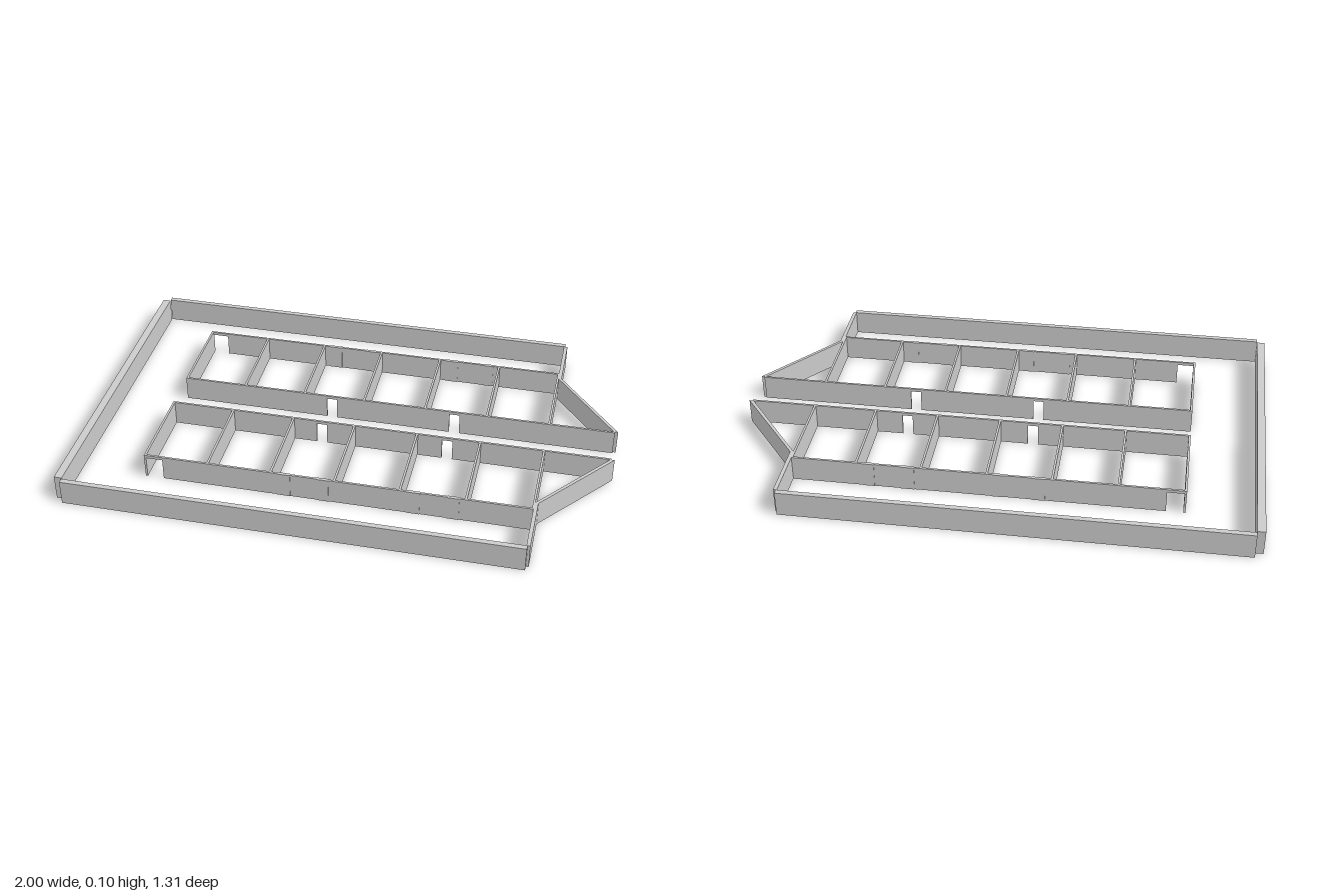
import * as THREE from 'three';

const H = 0.097;        // wall height
const DOOR = 0.085;     // door opening height
const T = 0.008;        // partition thickness

export function createModel() {
  const model = new THREE.Group();
  model.name = 'floorPlanWalls';
  const material = new THREE.MeshStandardMaterial({ color: 0xcccccc, flatShading: true });

  // Box wall given by its plan rectangle
  function wall(parent, name, x0, x1, z0, z1, y0 = 0, y1 = H) {
    const mesh = new THREE.Mesh(new THREE.BoxGeometry(x1 - x0, y1 - y0, z1 - z0), material);
    mesh.position.set((x0 + x1) / 2, (y0 + y1) / 2, (z0 + z1) / 2);
    mesh.name = name;
    parent.add(mesh);
  }

  // Wall along x at depth z, with door openings under thin lintels
  function wallWithDoors(parent, name, x0, x1, z, doors) {
    let x = x0;
    for (const [a, b] of doors) {
      if (a > x) wall(parent, name, x, a, z - T / 2, z + T / 2);
      wall(parent, name + 'Lintel', a, b, z - T / 2, z + T / 2, DOOR, H);
      x = b;
    }
    wall(parent, name, x, x1, z - T / 2, z + T / 2);
  }

  wall(model, 'endWall', -1, -0.97, -0.63, 0.63);

  const partitions = [-0.717, -0.475, -0.233, 0.008, 0.252, 0.495, 0.737];

  for (const s of [1, -1]) {
    const side = new THREE.Group();
    side.name = s > 0 ? 'frontSide' : 'backSide';
    model.add(side);
    const span = (name, x0, x1, z0, z1) =>
      wall(side, name, x0, x1, Math.min(s * z0, s * z1), Math.max(s * z0, s * z1));

    // Perimeter: long wall and entrance return
    span('longWall', -0.97, 0.742, 0.635, 0.655);
    span('entranceReturn', 0.738, 0.752, 0.4, 0.635);

    // Slanted entrance wall, extruded from its plan outline
    const plan = new THREE.Shape([
      new THREE.Vector2(0.738, -s * 0.4), new THREE.Vector2(0.752, -s * 0.4),
      new THREE.Vector2(1, -s * 0.088), new THREE.Vector2(0.984, -s * 0.088),
    ]);
    const slant = new THREE.Mesh(
      new THREE.ExtrudeGeometry(plan, { depth: H, bevelEnabled: false }).rotateX(-Math.PI / 2), material);
    slant.name = 'slantedEntranceWall';
    side.add(slant);

    // Row of rooms
    for (const x of partitions) span('roomPartition', x - T / 2, x + T / 2, 0.085, 0.435);
    wallWithDoors(side, 'corridorWall', -0.721, 0.988, s * 0.085, [[-0.14, -0.1], [0.35, 0.39]]);
    wallWithDoors(side, 'outerRoomWall', -0.721, 0.741, s * 0.432, [[-0.713, -0.65]]);

    // Slightly raised panels on the outer room wall
    for (const x of [-0.233, 0.252]) {
      span('wallPanel', x + 0.025, x + 0.075, 0.426, 0.438);
      span('wallPanel', x + 0.175, x + 0.22, 0.426, 0.438);
    }
  }
  return model;
}
